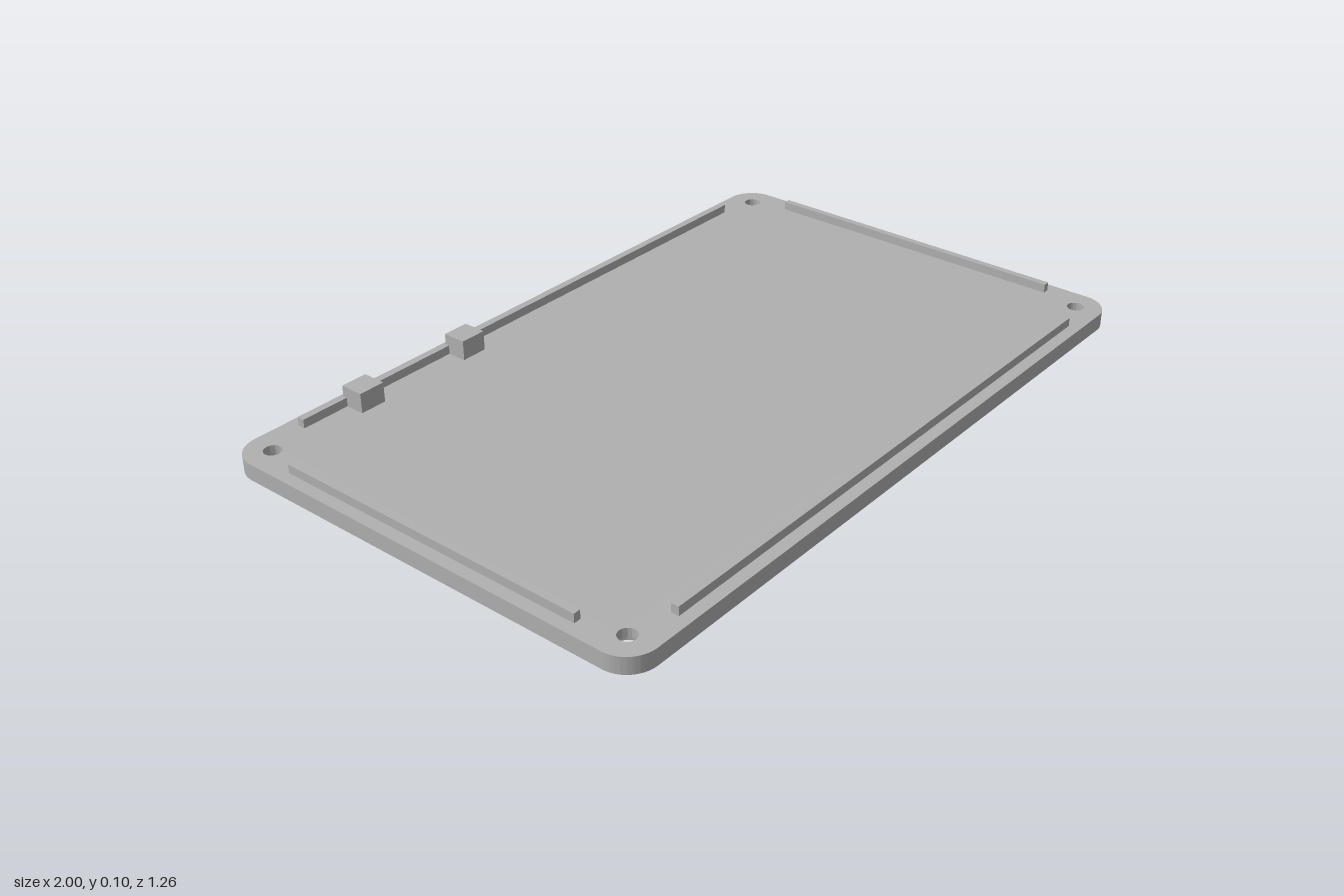
import * as THREE from 'three';
import { toCreasedNormals } from 'three/addons/utils/BufferGeometryUtils.js';

const W = 1, D = 0.63, R = 0.08;
const corners = [[1, 1], [1, -1], [-1, 1], [-1, -1]];

// Rounded rectangle outline of the plate
function outline() {
  const s = new THREE.Shape();
  s.absarc(W - R, D - R, R, 0, Math.PI / 2);
  s.absarc(-W + R, D - R, R, Math.PI / 2, Math.PI);
  s.absarc(-W + R, -D + R, R, Math.PI, Math.PI * 1.5);
  s.absarc(W - R, -D + R, R, Math.PI * 1.5, Math.PI * 2);
  return s;
}

// One slab of the plate, pierced by mirrored sets of round holes [x, z, radius]
function slab(y0, y1, holes) {
  const s = outline();
  for (const [x, z, r] of holes)
    for (const [sx, sz] of corners) {
      const h = new THREE.Path();
      h.absarc(x * sx, z * sz, r, 0, Math.PI * 2, true);
      s.holes.push(h);
    }
  const g = new THREE.ExtrudeGeometry(s, { depth: y1 - y0, bevelEnabled: false, curveSegments: 24 });
  g.rotateX(-Math.PI / 2).translate(0, y0, 0);
  return toCreasedNormals(g, 0.6);
}

export function createModel() {
  const model = new THREE.Group();
  model.name = 'enclosureLid';
  const grey = new THREE.MeshStandardMaterial({ color: 0xb0b0b0 });
  grey.name = 'grey plastic';

  const add = (name, geometry) => {
    const m = new THREE.Mesh(geometry, grey);
    m.name = name;
    model.add(m);
  };
  const box = (name, x0, x1, y0, y1, z0, z1) =>
    add(name, new THREE.BoxGeometry(x1 - x0, y1 - y0, z1 - z0)
      .translate((x0 + x1) / 2, (y0 + y1) / 2, (z0 + z1) / 2));

  // Plate: foot recesses and screw counterbores underneath, screw holes through the top
  const footRecess = [0.825, 0.455, 0.067];
  const counterbore = [0.927, 0.556, 0.041];
  const screwHole = [0.927, 0.556, 0.023];
  add('plateBottom', slab(0, 0.01, [footRecess, counterbore]));
  add('plateMiddle', slab(0.01, 0.022, [counterbore]));
  add('plateTop', slab(0.022, 0.045, [screwHole]));

  // Locating ribs along the four edges
  const top = 0.069, base = 0.04;
  box('frontRib', -0.815, 0.815, base, top, 0.576, 0.597);
  box('backRib', -0.815, 0.815, base, top, -0.597, -0.576);
  box('leftRib', 0.948, 0.967, base, top, -0.447, 0.447);
  box('rightRib', -0.967, -0.948, base, top, -0.447, 0.447);

  // Two retaining blocks against the back rib
  for (const x of [-0.642, -0.297])
    box('retainingBlock', x - 0.037, x + 0.037, base, 0.099, -0.588, -0.522);

  return model;
}
